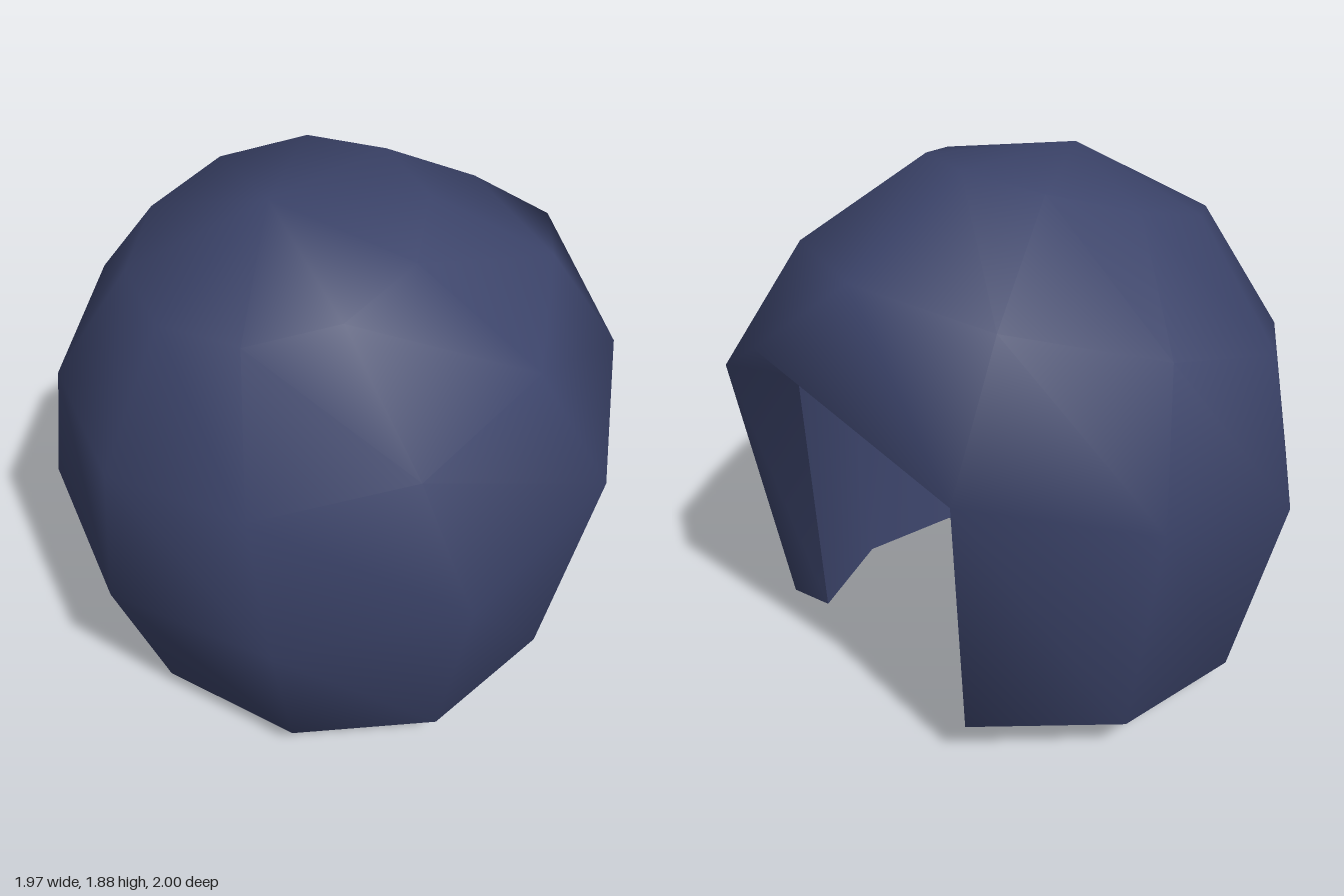
import * as THREE from 'three';
import { mergeVertices } from 'three/addons/utils/BufferGeometryUtils.js';

const SIDES = 10;

// Ten-sided ring, tilted up towards the face opening (+x)
function ring(cx, cy, r) {
  return Array.from({ length: SIDES }, (_, k) => {
    const a = (k / SIDES) * Math.PI * 2;
    return [cx + r * Math.cos(a) * 0.963, cy + r * Math.cos(a) * 0.27, r * Math.sin(a)];
  });
}

// Open lower ring: points for columns 1..5, mirrored across z (column 0 is the opening)
function openRing(points) {
  const out = [];
  points.forEach(([x, y, z], i) => {
    out[i + 1] = [x, y, z];
    out[SIDES - i - 1] = [x, y, -z];
  });
  return out;
}

// Triangles between neighbouring rows of points
function strip(rows, from, to, flip) {
  const tris = [];
  const add = (p, q, r) => tris.push(...p, ...(flip ? r : q), ...(flip ? q : r));
  for (let i = 0; i < rows.length - 1; i++) {
    for (let k = from; k < to; k++) {
      const n = (k + 1) % rows[i].length;
      const a = rows[i][k], b = rows[i][n], c = rows[i + 1][n], d = rows[i + 1][k];
      add(a, b, d);
      add(b, c, d);
    }
  }
  return tris;
}

// Smooth mesh from triangles, sharing corners
function smoothMesh(name, tris, material) {
  let geo = new THREE.BufferGeometry();
  geo.setAttribute('position', new THREE.Float32BufferAttribute(tris, 3));
  geo = mergeVertices(geo, 1e-4);
  geo.computeVertexNormals();
  const mesh = new THREE.Mesh(geo, material);
  mesh.name = name;
  return mesh;
}

export function createModel() {
  const group = new THREE.Group();
  group.name = 'helmet';
  const navy = new THREE.MeshStandardMaterial({ color: 0x3b4369 });
  navy.name = 'navy';

  // Outer rings from crown to widest, with the brow pulled out to a peak
  const crown = ring(-0.25, 1.88, 0);
  const upper = ring(-0.22, 1.75, 0.5);
  const middle = ring(-0.115, 1.395, 0.866);
  const widest = ring(0.02, 0.934, 1.05);
  widest[0] = [0.98, 1.44, 0.15];

  // Lower edge and inner lip
  const hem = openRing([[0.72, 0.19, 0.51], [0.29, 0.16, 0.84], [-0.24, 0.125, 0.84], [-0.64, 0.1, 0.52], [-0.79, 0.085, 0]]);
  const lip = openRing([[0.61, 0.09, 0.465], [0.24, 0.065, 0.68], [-0.18, 0.035, 0.68], [-0.48, 0.012, 0.42], [-0.6, 0, 0]]);

  // Inner rings
  const inWidest = ring(0.02, 0.93, 0.8);
  inWidest[0] = [0.69, 1.28, 0.15];
  const inMiddle = ring(-0.085, 1.285, 0.66);
  const inUpper = ring(-0.165, 1.56, 0.385);
  const inCrown = ring(-0.19, 1.66, 0);

  // Shell with the rim rolled around the opening
  const rimOuter = [hem[1], widest[1], widest[0], widest[9], hem[9]];
  const rimInner = [lip[1], inWidest[1], inWidest[0], inWidest[9], lip[9]];
  group.add(smoothMesh('outerShell', [
    ...strip([crown, upper, middle, widest], 0, SIDES, false),
    ...strip([widest, hem, lip], 1, 9, false),
    ...strip([rimOuter, rimInner], 0, 4, true),
  ], navy));

  // Lining
  group.add(smoothMesh('innerWall', strip([inWidest, lip], 1, 9, true), navy));
  group.add(smoothMesh('innerDome', strip([inCrown, inUpper, inMiddle, inWidest], 0, SIDES, true), navy));

  return group;
}
